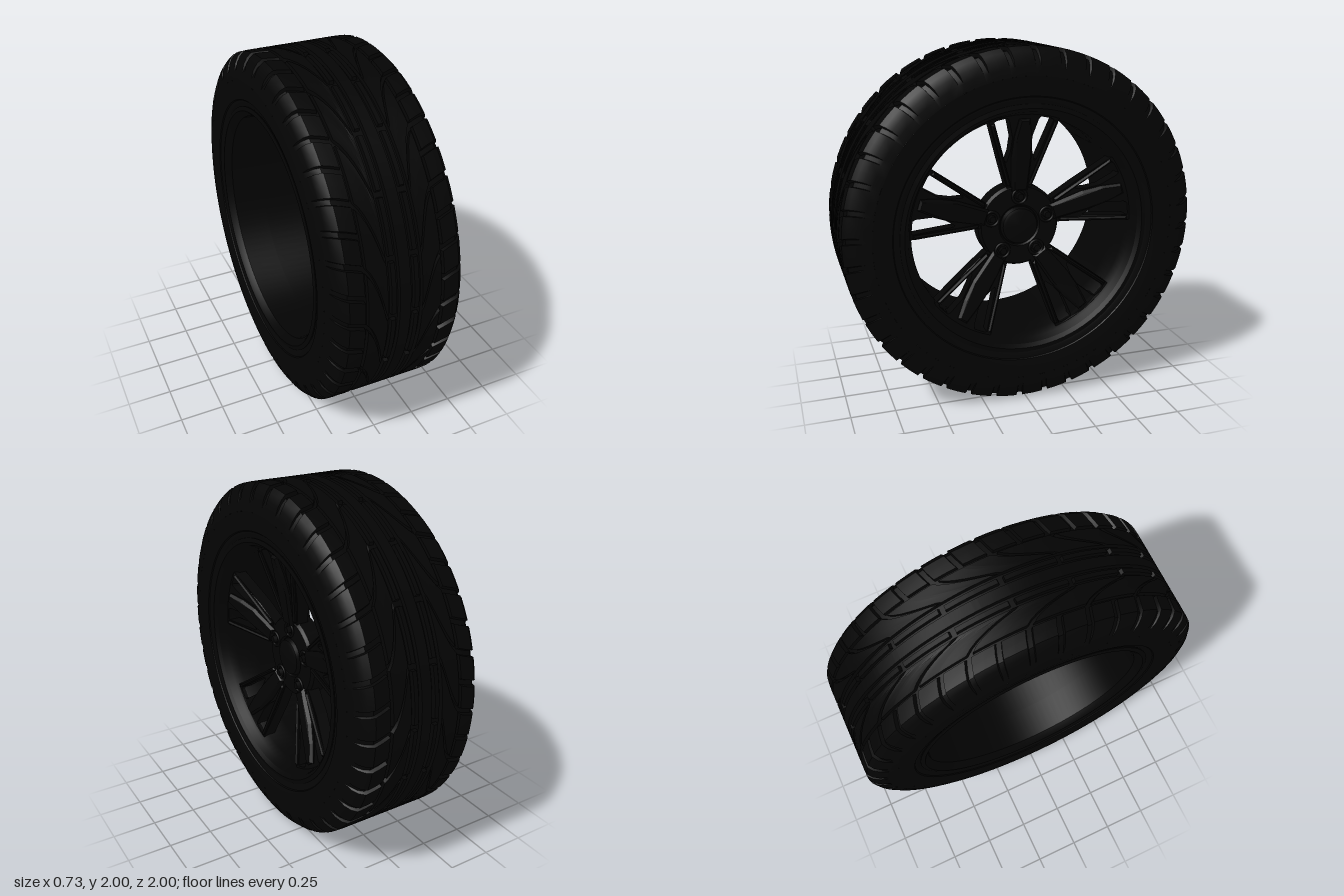
import * as THREE from 'three';
import { toCreasedNormals } from 'three/addons/utils/BufferGeometryUtils.js';

const rubber = new THREE.MeshStandardMaterial({ color: 0x040404, side: THREE.DoubleSide });
const metal = new THREE.MeshStandardMaterial({ color: 0x030303, side: THREE.DoubleSide });

function add(parent, name, geometry, material) {
  const mesh = new THREE.Mesh(geometry, material);
  mesh.name = name;
  parent.add(mesh);
  return mesh;
}

// Turned part around the z axis; points are [radius, z]
function turned(points, segments = 96) {
  const g = new THREE.LatheGeometry(points.map(([r, z]) => new THREE.Vector2(r, z)), segments);
  g.rotateX(Math.PI / 2);
  return toCreasedNormals(g, 0.45);
}

// Half of the tread section: [z, radius, ring groove, cross groove (1 = every other, 2 = all)]
const halfTread = [
  [0.03, 1, 0, 0], [0.033, 1, 1, 0], [0.047, 1, 1, 0], [0.05, 1, 0, 1],
  [0.075, 1, 0, 1], [0.078, 1, 1, 0], [0.092, 1, 1, 0], [0.095, 1, 0, 0],
  [0.105, 1, 0, 1], [0.12, 1, 0, 1], [0.14, 1, 0, 1], [0.16, 1, 0, 1], [0.18, 1, 0, 1],
  [0.2, 1, 0, 1], [0.203, 1, 1, 0], [0.213, 1, 1, 0], [0.216, 1, 0, 2],
  [0.26, 1, 0, 2], [0.3, 0.998, 0, 2], [0.325, 0.975, 0, 2], [0.345, 0.94, 0, 2],
  [0.358, 0.895, 0, 0], [0.365, 0.85, 0, 0],
];

// Tread: a ring grid sheared so that cross grooves sweep into J curves
function treadGeometry() {
  const pitches = 40, depth = 0.02;
  const columns = [[0, 0], [0.03, 1], [0.2, 1], [0.23, 0], [0.6, 0]];
  const rows = [...halfTread.map(([z, ...rest]) => [-z, ...rest]).reverse(), ...halfTread];
  const sweep = (z) => {
    const t = THREE.MathUtils.clamp((Math.abs(z) - 0.1) / 0.13, 0, 1);
    return 0.3 * (1 - (1 - t) ** 2) + 0.3 * Math.max(0, Math.abs(z) - 0.2);
  };
  const count = pitches * columns.length;
  const position = [], index = [];
  rows.forEach(([z, radius, ring, cross], j) => {
    for (let i = 0; i < count; i++) {
      const pitch = Math.floor(i / columns.length);
      const [u, cut] = columns[i % columns.length];
      const open = cross === 2 || (cross === 1 && pitch % 2 === 0);
      const r = radius - depth * Math.max(ring, open ? cut : 0);
      const a = ((pitch + u) / pitches) * Math.PI * 2 + sweep(z);
      position.push(-Math.cos(a) * r, Math.sin(a) * r, z);
      if (j < rows.length - 1) {
        const p = j * count + i, q = j * count + ((i + 1) % count);
        index.push(p, p + count, q, q, p + count, q + count);
      }
    }
  });
  const g = new THREE.BufferGeometry();
  g.setAttribute('position', new THREE.Float32BufferAttribute(position, 3));
  g.setIndex(index);
  return toCreasedNormals(g, 0.5);
}

// Bends a flat spoke so that it sits deeper towards the hub
function dish(geometry, base) {
  const p = geometry.attributes.position;
  for (let i = 0; i < p.count; i++) {
    const r = Math.hypot(p.getX(i), p.getY(i));
    p.setZ(i, p.getZ(i) + base + 0.1 * (r / 0.63) ** 2);
  }
  geometry.computeVertexNormals();
  return geometry;
}

const vectors = (points) => points.map(([x, y]) => new THREE.Vector2(x, y));

// One spoke group: a broad middle spoke and two slim ones, parted by two windows
function spokeGeometry() {
  const half = Math.PI / 10;
  const shape = new THREE.Shape();
  shape.moveTo(-0.062, 0.19);
  shape.lineTo(0.062, 0.19);
  shape.lineTo(0.08, 0.246);
  shape.lineTo(0.119, 0.367);
  shape.absarc(0, 0, 0.64, Math.PI / 2 - half, Math.PI / 2 + half, false);
  shape.lineTo(-0.119, 0.367);
  shape.lineTo(-0.08, 0.246);
  shape.closePath();
  const hole = [[0.167, 0.602], [0.155, 0.61], [0.095, 0.622], [0.083, 0.608], [0.056, 0.51], [0.062, 0.43], [0.08, 0.37], [0.09, 0.375]];
  for (const side of [-1, 1]) {
    shape.holes.push(new THREE.Path(vectors(hole.map(([x, y]) => [x * side, y]))));
  }
  const g = new THREE.ExtrudeGeometry(shape, { depth: 0.07, bevelEnabled: false, curveSegments: 10 });
  return dish(g, 0.1);
}

// Raised ridge along a spoke
function ridgeGeometry(points, height) {
  const g = new THREE.ExtrudeGeometry(new THREE.Shape(vectors(points)), {
    depth: 0.01, bevelEnabled: true, bevelThickness: height, bevelSize: 0.012, bevelOffset: -0.012, bevelSegments: 1,
  });
  return dish(g, 0.17);
}

export function createModel() {
  const model = new THREE.Group();
  model.name = 'wheel';
  const wheel = new THREE.Group();
  wheel.name = 'wheelAssembly';
  wheel.rotation.y = Math.PI / 2;
  wheel.position.y = 1;
  model.add(wheel);

  // Tyre
  add(wheel, 'tread', treadGeometry(), rubber);
  for (const s of [-1, 1]) {
    const wall = [[0.85, 0.365], [0.8, 0.364], [0.745, 0.355], [0.74, 0.349], [0.715, 0.344], [0.69, 0.33]];
    add(wheel, s > 0 ? 'outerSidewall' : 'innerSidewall', turned(wall.map(([r, z]) => [r, z * s])), rubber);
  }

  // Rim with a lip on both sides and a deep barrel
  add(wheel, 'rim', turned([
    [0.7, -0.325], [0.705, -0.343], [0.68, -0.348], [0.665, -0.335], [0.645, -0.31], [0.638, -0.12],
    [0.628, 0.1], [0.626, 0.24], [0.645, 0.29], [0.66, 0.33], [0.68, 0.348], [0.705, 0.343], [0.7, 0.325],
  ]), metal);

  // Hub and centre cap
  add(wheel, 'hub', turned([
    [0, 0.06], [0.2, 0.06], [0.235, 0.08], [0.235, 0.17], [0.222, 0.188], [0.12, 0.192], [0.112, 0.18], [0.108, 0.18],
  ], 60), metal);
  add(wheel, 'centreCap', turned([[0.108, 0.18], [0.1, 0.205], [0.085, 0.212], [0, 0.216]], 48), metal);

  // Five spoke groups with their ridges and wheel bolts
  const spoke = spokeGeometry();
  const middleRidge = ridgeGeometry([[-0.045, 0.2], [0.045, 0.2], [0.058, 0.4], [0.05, 0.51], [0.03, 0.615], [-0.03, 0.615], [-0.05, 0.51], [-0.058, 0.4]], 0.018);
  const sideRidges = [-1, 1].map((s) =>
    ridgeGeometry([[0.05, 0.23], [0.072, 0.235], [0.19, 0.59], [0.17, 0.597]].map(([x, y]) => [x * s, y]), 0.01));
  const seat = new THREE.TorusGeometry(0.04, 0.008, 8, 24);
  const bolt = new THREE.CylinderGeometry(0.02, 0.024, 0.03, 6).rotateX(Math.PI / 2);
  for (let i = 0; i < 5; i++) {
    const group = new THREE.Group();
    group.name = 'spokeGroup' + (i + 1);
    group.rotation.z = (i * Math.PI * 2) / 5;
    add(group, 'spokes', spoke, metal);
    add(group, 'middleRidge', middleRidge, metal);
    sideRidges.forEach((g) => add(group, 'sideRidge', g, metal));
    add(group, 'boltSeat', seat, metal).position.set(0, 0.17, 0.193);
    add(group, 'wheelBolt', bolt, metal).position.set(0, 0.17, 0.2);
    wheel.add(group);
  }
  return model;
}
